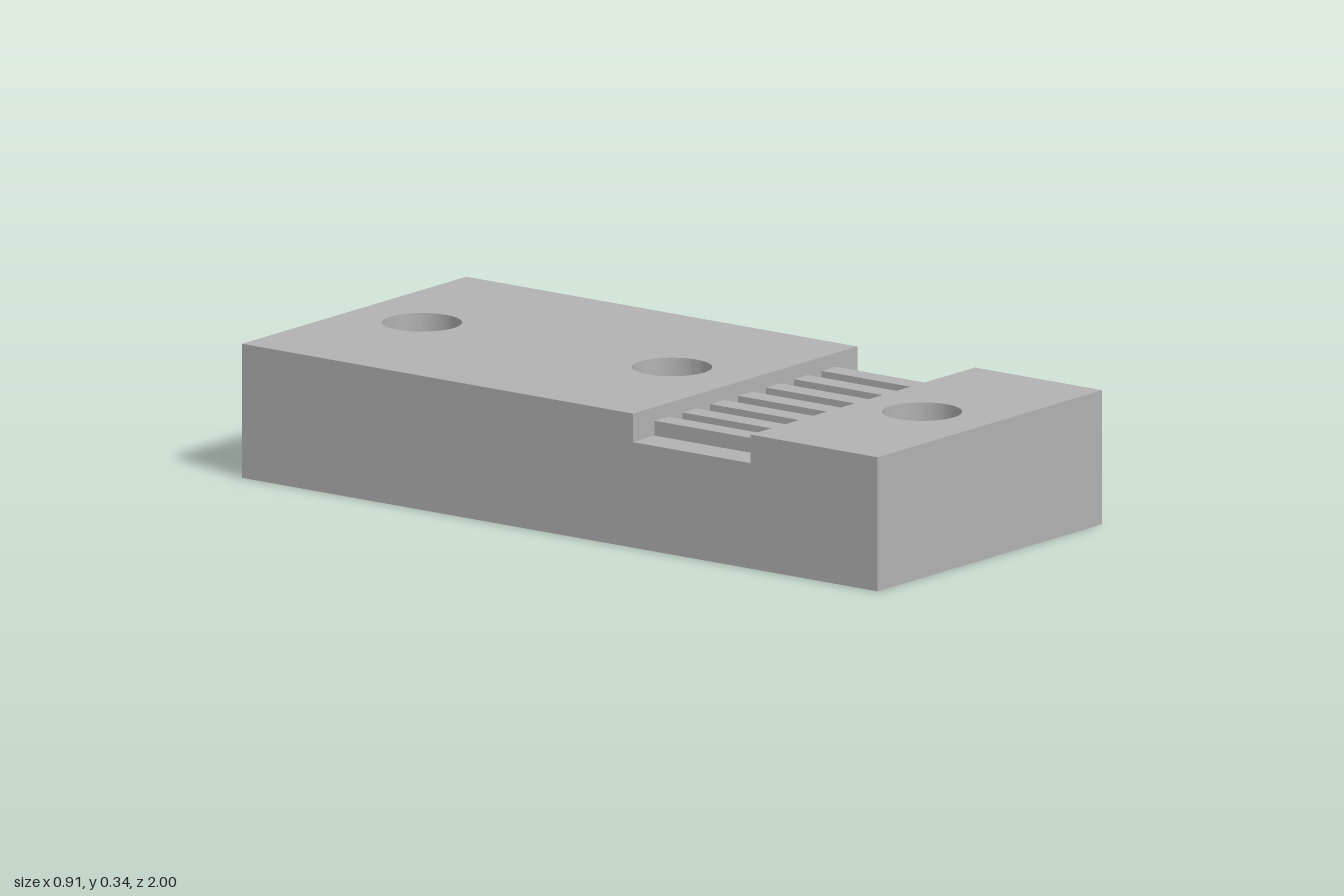
import * as THREE from 'three';
import { toCreasedNormals } from 'three/addons/utils/BufferGeometryUtils.js';

const HALF_W = 0.457, HEIGHT = 0.343, FLOOR = 0.27, RIB_TOP = 0.308;
const NOTCH_BACK = 0.23, NOTCH_FRONT = 0.6, HOLE_R = 0.1;
const RIBS = 7, RIB_W = 0.057, RIB_PITCH = 0.1133;

// Full-height block from z0 to z1 with vertical through holes
function drilledBlock(z0, z1, holes) {
  const shape = new THREE.Shape([
    new THREE.Vector2(-HALF_W, -z1), new THREE.Vector2(HALF_W, -z1),
    new THREE.Vector2(HALF_W, -z0), new THREE.Vector2(-HALF_W, -z0),
  ]);
  for (const z of holes) {
    shape.holes.push(new THREE.Path().absarc(0, -z, HOLE_R, 0, Math.PI * 2, true));
  }
  const geometry = new THREE.ExtrudeGeometry(shape, { depth: HEIGHT, bevelEnabled: false, curveSegments: 32 });
  geometry.rotateX(-Math.PI / 2);
  return toCreasedNormals(geometry, 0.6);
}

// Recessed section: comb profile with ribs running front to back
function ribbedSection() {
  const points = [[-HALF_W, 0], [HALF_W, 0], [HALF_W, FLOOR]];
  for (let i = RIBS - 1; i >= 0; i--) {
    const x = (i - (RIBS - 1) / 2) * RIB_PITCH, h = RIB_W / 2;
    points.push([x + h, FLOOR], [x + h, RIB_TOP], [x - h, RIB_TOP], [x - h, FLOOR]);
  }
  points.push([-HALF_W, FLOOR]);
  const shape = new THREE.Shape(points.map(([x, y]) => new THREE.Vector2(x, y)));
  const geometry = new THREE.ExtrudeGeometry(shape, { depth: NOTCH_FRONT - NOTCH_BACK, bevelEnabled: false });
  return geometry.translate(0, 0, NOTCH_BACK);
}

export function createModel() {
  const model = new THREE.Group();
  model.name = 'ribbedClampBlock';
  const grey = new THREE.MeshStandardMaterial({ color: 0xb2b2b2 });
  grey.name = 'grey';

  const add = (name, geometry) => {
    const mesh = new THREE.Mesh(geometry, grey);
    mesh.name = name;
    model.add(mesh);
  };
  add('backBlock', drilledBlock(-1, NOTCH_BACK, [-0.787, 0]));
  add('ribbedRecess', ribbedSection());
  add('frontBlock', drilledBlock(NOTCH_FRONT, 1, [0.787]));
  return model;
}
